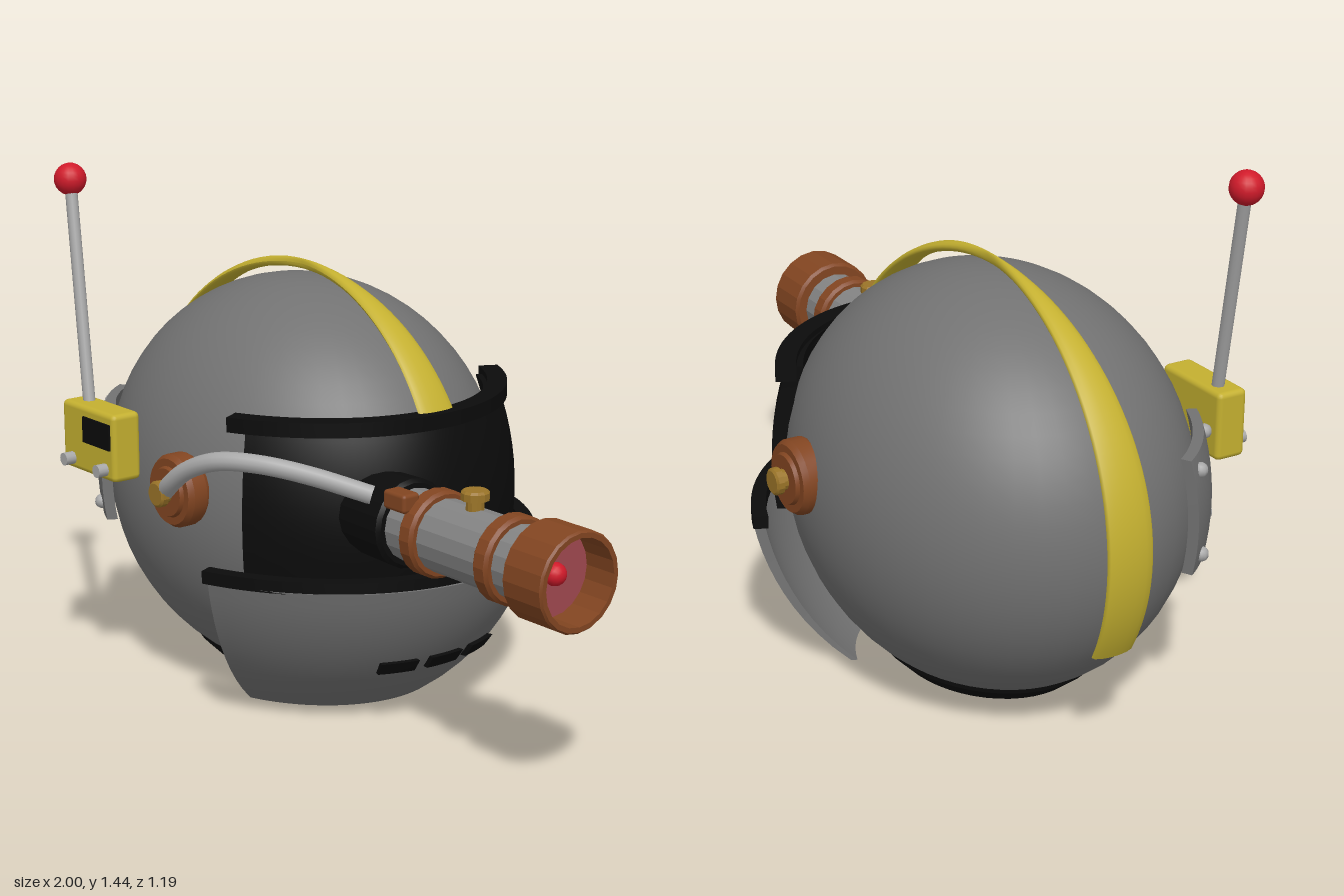
import * as THREE from 'three';
import { toCreasedNormals } from 'three/addons/utils/BufferGeometryUtils.js';
import { RoundedBoxGeometry } from 'three/addons/geometries/RoundedBoxGeometry.js';

const CENTER = new THREE.Vector3(-0.33, 0.575, -0.02); // middle of the dome
const RAD = Math.PI / 180;

const paint = (name, color) => {
  const m = new THREE.MeshStandardMaterial({ color });
  m.name = name;
  return m;
};

export function createModel() {
  const model = new THREE.Group();
  model.name = 'helmet';

  const gray = paint('domeGray', 0x727272);
  const steel = paint('scopeGray', 0x838383);
  const silver = paint('lightMetal', 0xa8a8a8);
  const black = paint('black', 0x0b0b0b);
  const bronze = paint('bronze', 0x824521);
  const gold = paint('gold', 0xc4b030);
  const brass = paint('brass', 0x9a7428);
  const red = paint('red', 0xd01a2a);
  const glass = paint('lensPink', 0xa0484f);

  const add = (name, geometry, material, x = 0, y = 0, z = 0, parent = model) => {
    const mesh = new THREE.Mesh(geometry, material);
    mesh.name = name;
    mesh.position.set(x, y, z);
    parent.add(mesh);
    return mesh;
  };

  // Turned part: [radius, height] profile, listed upwards on the outside
  const turned = (profile, sides, crease = 0.3) => toCreasedNormals(
    new THREE.LatheGeometry(profile.map(p => new THREE.Vector2(...p)), sides), crease);

  // Curved plate wrapped round the dome; angle 0 is the face side (+x), -90 is +z
  const shell = (rx, ry, rz, thick, y0, y1, a0, a1) => {
    const g = new THREE.BoxGeometry(1, 1, 1, 40, 10, 1);
    const p = g.attributes.position;
    for (let i = 0; i < p.count; i++) {
      const a = THREE.MathUtils.lerp(a0, a1, p.getX(i) + 0.5) * RAD;
      const y = THREE.MathUtils.lerp(y0, y1, p.getY(i) + 0.5);
      const inset = thick * (0.5 - p.getZ(i));
      const k = Math.sqrt(1 - ((y - CENTER.y) / ry) ** 2);
      p.setXYZ(i, CENTER.x + (rx - inset) * k * Math.cos(a), y,
        CENTER.z - (rz - inset) * k * Math.sin(a));
    }
    g.computeVertexNormals();
    return g;
  };

  // Dome and neck ring
  const dome = add('dome', new THREE.SphereGeometry(1, 48, 32), gray, ...CENTER.toArray());
  dome.scale.set(0.62, 0.565, 0.505);
  const neck = add('neckRing', turned([[0.19, 0.07], [0.215, 0.05], [0.29, 0.05], [0.345, 0.095],
    [0.35, 0.125], [0.3, 0.125]], 48, 0.6), black, CENTER.x, 0, CENTER.z);
  neck.scale.z = 0.815;

  // Visor band with its rims, and the chin guard
  add('visorBand', shell(0.66, 0.69, 0.54, 0.045, 0.44, 0.85, -59, 59), black);
  add('visorTopRim', shell(0.615, 9, 0.535, 0.055, 0.825, 0.865, -62, 62), black);
  add('chinRim', shell(0.715, 9, 0.6, 0.04, 0.425, 0.46, -67, 67), black);
  add('chinGuard', shell(0.74, 0.68, 0.61, 0.03, 0.02, 0.43, -66, 66), gray);
  for (const a of [-16, 0, 16]) {
    add('chinVent', shell(0.755, 0.69, 0.625, 0.04, 0.167, 0.204, a - 5.8, a + 5.8), black);
  }

  // Crest: a thin arch, broad at both ends and narrow on top
  const crest = new THREE.CylinderGeometry(1, 1, 1, 14, 64);
  const cp = crest.attributes.position;
  for (let i = 0; i < cp.count; i++) {
    const a = THREE.MathUtils.lerp(24, 206, cp.getY(i) + 0.5) * RAD;
    const out = cp.getX(i) * 0.014;
    const width = 0.064 * Math.abs(Math.cos(a)) + 0.003;
    cp.setXYZ(i, CENTER.x + (0.656 + out) * Math.cos(a),
      CENTER.y + (0.596 + out) * Math.sin(a), CENTER.z + cp.getZ(i) * width);
  }
  crest.computeVertexNormals();
  add('crest', crest, gold);

  // Ear discs on both sides
  for (const side of [1, -1]) {
    const ear = new THREE.Group();
    ear.name = side > 0 ? 'leftEar' : 'rightEar';
    ear.position.set(-0.22, 0.635, CENTER.z + side * 0.48);
    ear.rotation.x = side * Math.PI / 2;
    model.add(ear);
    add('earDisc', turned([[0, -0.02], [0.09, -0.02], [0.1, 0], [0.1, 0.04], [0.09, 0.055],
      [0.07, 0.055], [0.065, 0.065], [0, 0.065]], 24), bronze, 0, 0, 0, ear);
    add('earHub', turned([[0.028, 0.06], [0.028, 0.075], [0.036, 0.078], [0.036, 0.095],
      [0.03, 0.1], [0, 0.1]], 14), brass, 0, 0, 0, ear);
  }

  // Hose from the ear to the scope
  const hose = new THREE.CatmullRomCurve3([[-0.22, 0.635, 0.53], [-0.17, 0.675, 0.54],
    [-0.1, 0.725, 0.535], [0, 0.765, 0.51], [0.1, 0.768, 0.45], [0.2, 0.745, 0.365],
    [0.32, 0.7, 0.255]].map(p => new THREE.Vector3(...p)));
  add('hose', new THREE.TubeGeometry(hose, 40, 0.025, 12), silver);
  add('hoseEnd', new THREE.SphereGeometry(0.025, 12, 8), silver, -0.22, 0.635, 0.53);

  // Eye scope, built along its own axis and laid towards +x
  const scope = new THREE.Group();
  scope.name = 'eyeScope';
  scope.position.set(0, 0.62, 0.167);
  scope.rotation.z = -Math.PI / 2;
  model.add(scope);
  add('scopeMount', turned([[0, 0.2], [0.115, 0.2], [0.12, 0.37], [0.11, 0.38], [0, 0.38]], 20),
    black, 0, 0, 0, scope);
  add('scopeBarrel', turned([[0.097, 0.36], [0.097, 0.88]], 16), steel, 0, 0, 0, scope);
  for (const x of [0.477, 0.76]) {
    add('scopeRing', turned([[0.09, -0.027], [0.108, -0.027], [0.116, -0.018], [0.116, 0.018],
      [0.108, 0.027], [0.09, 0.027]], 20), bronze, 0, x, 0, scope);
  }
  add('scopeCup', turned([[0.09, 0.858], [0.122, 0.858], [0.13, 0.866], [0.13, 0.994],
    [0.125, 1], [0.112, 1], [0.112, 0.89]], 20), bronze, 0, 0, 0, scope);
  add('lens', new THREE.CylinderGeometry(0.113, 0.113, 0.008, 20), glass, 0, 0.9, 0, scope);
  add('lensBead', new THREE.SphereGeometry(0.03, 14, 10), red, 0, 0.91, 0, scope);

  // Scope knob and the clamp beside the hose
  add('scopeKnob', turned([[0.024, 0], [0.024, 0.03], [0.037, 0.033], [0.037, 0.052],
    [0.031, 0.058], [0, 0.058]], 12), brass, 0.615, 0.707, 0.165);
  add('hoseClamp', new RoundedBoxGeometry(0.085, 0.05, 0.055, 2, 0.01), bronze, 0.427, 0.71, 0.248);

  // Riveted side panel
  add('sidePanel', shell(0.66, 0.61, 0.54, 0.03, 0.45, 0.76, -151, -117), gray);
  for (const a of [-146, -122]) {
    for (const y of [0.49, 0.72]) {
      const k = Math.sqrt(1 - ((y - CENTER.y) / 0.61) ** 2);
      add('panelRivet', new THREE.SphereGeometry(0.02, 10, 8), silver,
        CENTER.x + 0.66 * k * Math.cos(a * RAD), y, CENTER.z - 0.54 * k * Math.sin(a * RAD));
    }
  }

  // Radio box with screen, screws and antenna
  add('radioBox', new RoundedBoxGeometry(0.255, 0.19, 0.09, 2, 0.015), gold, -0.542, 0.715, 0.515);
  add('radioScreen', new THREE.BoxGeometry(0.13, 0.072, 0.008), black, -0.494, 0.746, 0.562);
  for (const x of [-0.62, -0.458]) {
    const screw = add('radioScrew', new THREE.CylinderGeometry(0.018, 0.018, 0.035, 12),
      silver, x, 0.652, 0.573);
    screw.rotation.x = Math.PI / 2;
  }
  const base = new THREE.Vector3(-0.605, 0.79, 0.51);
  const tip = new THREE.Vector3(-0.76, 1.4, 0.453);
  add('antennaRod', new THREE.TubeGeometry(new THREE.LineCurve3(base, tip), 1, 0.017, 12), silver);
  add('antennaBall', new THREE.SphereGeometry(0.045, 18, 12), red, ...tip.toArray());

  return model;
}
